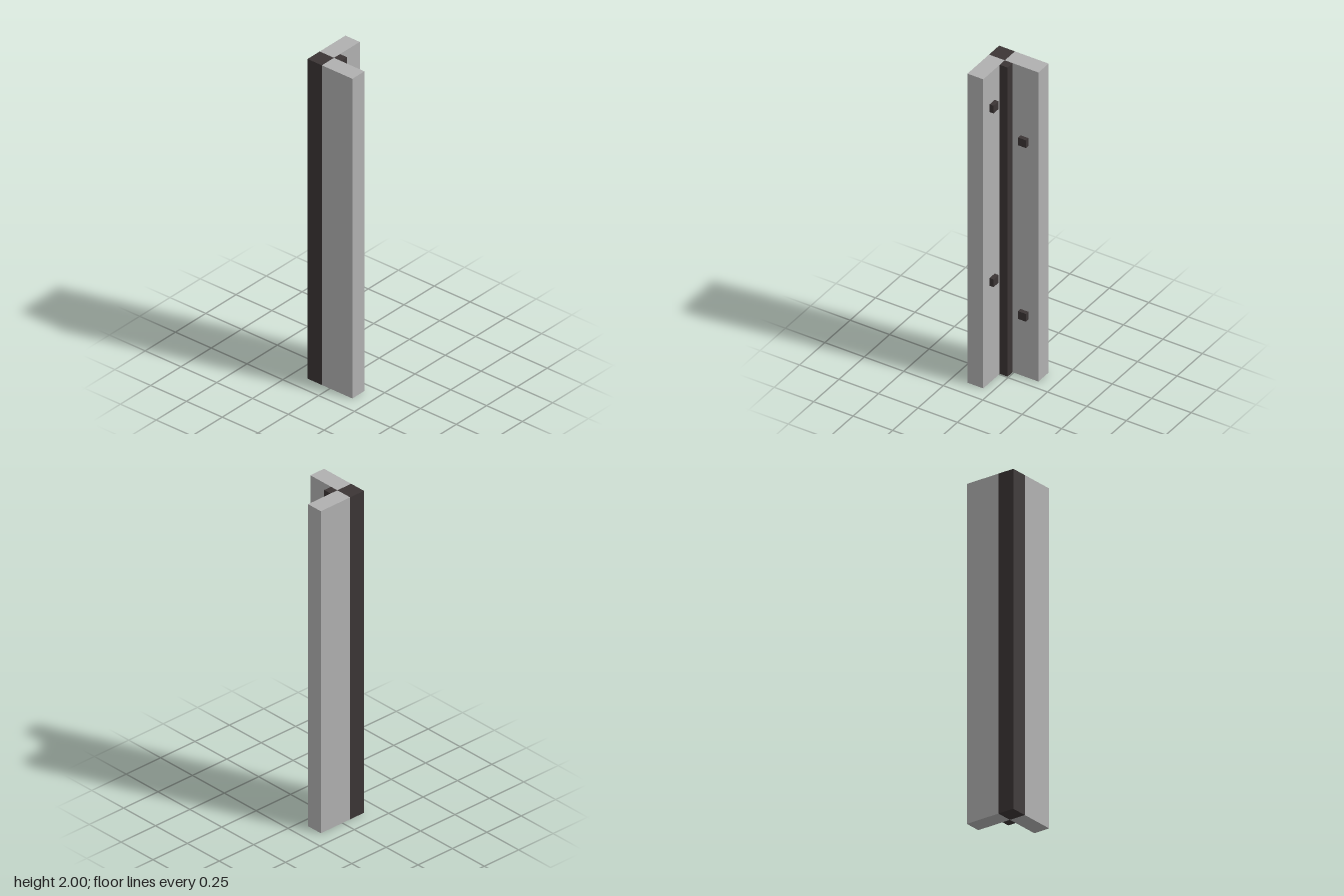
import * as THREE from 'three';

export function createModel() {
  const group = new THREE.Group();
  const stone = new THREE.MeshStandardMaterial({ color: 0xb0b0b0 });
  stone.name = 'light grey';
  const dark = new THREE.MeshStandardMaterial({ color: 0x3b3535 });
  dark.name = 'dark brown grey';

  // Box given by its minimum and maximum on each axis
  const box = (name, material, [x0, x1], [y0, y1], [z0, z1]) => {
    const mesh = new THREE.Mesh(new THREE.BoxGeometry(x1 - x0, y1 - y0, z1 - z0), material);
    mesh.position.set((x0 + x1) / 2, (y0 + y1) / 2, (z0 + z1) / 2);
    mesh.name = name;
    group.add(mesh);
  };

  const outer = -0.1565, inner = -0.0565, end = 0.1565;
  const full = [0, 2], wall = [outer, inner], arm = [inner, end], strip = [inner, -0.0065];

  // Corner post and the slim strip in the inner corner
  box('cornerPost', dark, wall, full, wall);
  box('innerStrip', dark, strip, full, strip);

  // Two wall panels forming an L
  box('backPanel', stone, arm, full, wall);
  box('sidePanel', stone, wall, full, arm);

  // Pegs standing out from the inner faces, two on each panel
  const along = [0.0435, 0.0935], out = [inner, -0.0315], half = 0.025;
  for (const y of [0.403, 1.527]) {
    box('backPeg', dark, along, [y - half, y + half], out);
    box('sidePeg', dark, out, [y + 0.25 - half, y + 0.25 + half], along);
  }
  return group;
}
